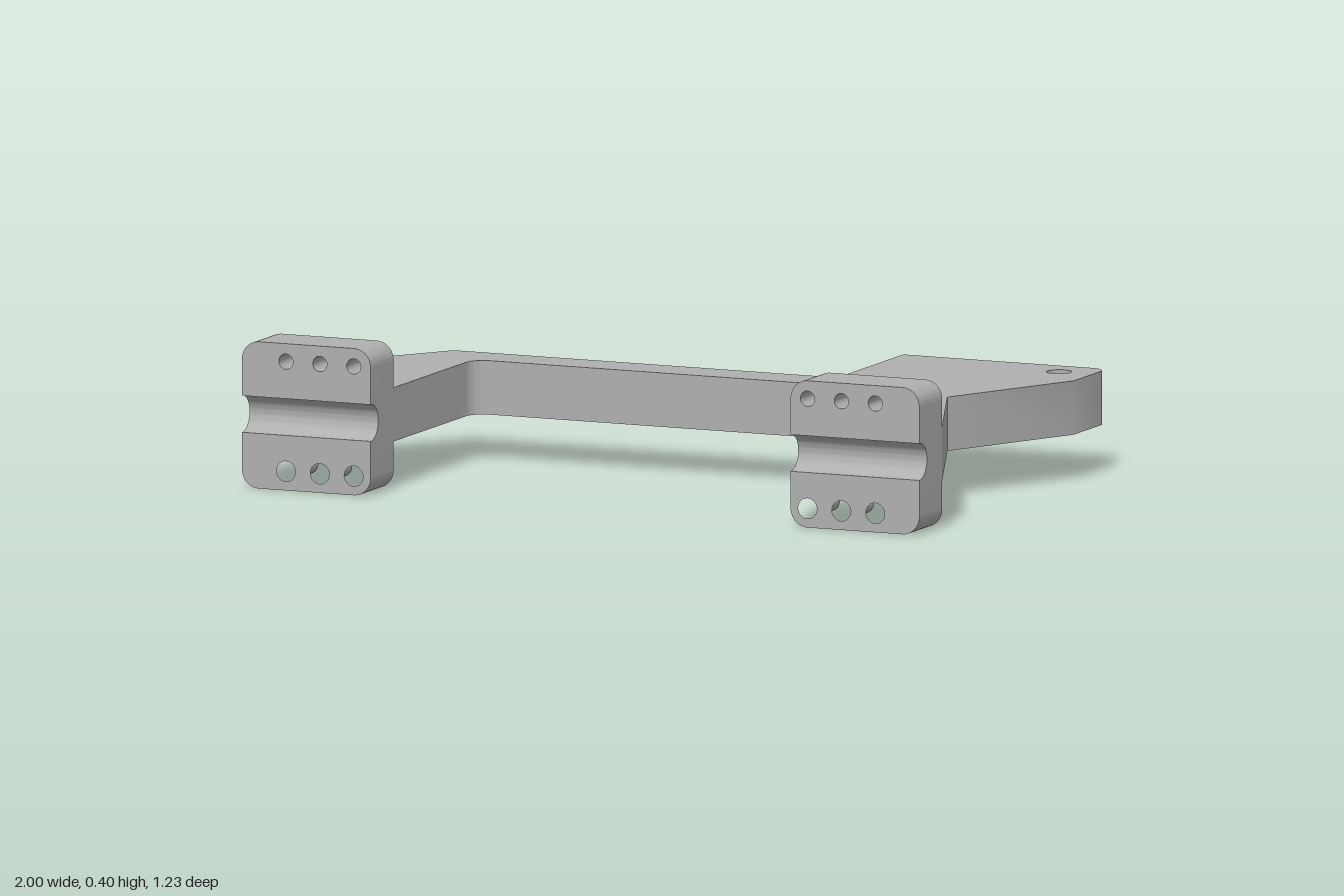
import * as THREE from 'three';
import { toCreasedNormals } from 'three/addons/utils/BufferGeometryUtils.js';

const grey = new THREE.MeshStandardMaterial({ color: 0xb0b0b0 });
grey.name = 'plain grey';

// Block and frame dimensions
const BACK = 0.465, FRONT = 0.615, INNER = 0.62, OUTER = 1, HEIGHT = 0.4;
const GROOVE_Y = 0.2, GROOVE_R = 0.05, CORNER = 0.05;
const FRAME_BOTTOM = 0.128, FRAME_TOP = 0.275;

function extrude(shape, depth) {
  const g = new THREE.ExtrudeGeometry(shape, { depth, bevelEnabled: false, curveSegments: 12 });
  return toCreasedNormals(g, 0.6);
}

function addMesh(parent, name, geometry) {
  const mesh = new THREE.Mesh(geometry, grey);
  mesh.name = name;
  parent.add(mesh);
}

function drill(shape, x, y, r) {
  const hole = new THREE.Path();
  hole.absarc(x, y, r, 0, Math.PI * 2, true);
  shape.holes.push(hole);
}

// Bridge frame outline, drawn in plan (shape y = -z)
function frameGeometry() {
  const s = new THREE.Shape();
  s.moveTo(-OUTER, -BACK);
  s.lineTo(-INNER, -BACK);
  s.lineTo(-INNER, 0.01);
  s.absarc(-INNER + 0.05, 0.01, 0.05, Math.PI, Math.PI / 2, true);
  s.lineTo(INNER - 0.05, 0.06);
  s.absarc(INNER - 0.05, 0.01, 0.05, Math.PI / 2, 0, true);
  s.lineTo(INNER, -BACK);
  s.lineTo(OUTER, -BACK);
  s.lineTo(0.805, 0);
  s.lineTo(OUTER, 0.395);
  s.lineTo(OUTER, 0.57);
  s.absarc(OUTER - 0.045, 0.57, 0.045, 0, Math.PI / 2, false);
  s.lineTo(0.397, 0.615);
  s.lineTo(0.397, 0.183);
  s.lineTo(-0.735, 0.183);
  s.lineTo(-OUTER, -0.185);
  s.closePath();
  drill(s, 0.9, 0.52, 0.034);
  drill(s, -0.9, -0.27, 0.034);
  const g = extrude(s, FRAME_TOP - FRAME_BOTTOM);
  g.rotateX(-Math.PI / 2);
  g.translate(0, FRAME_BOTTOM, 0);
  return g;
}

// Jaw half: a bar from yFlat to yRound with its two outer corners rounded
function jawShape(side, yFlat, yRound) {
  const cx = side * (INNER + OUTER) / 2, half = (OUTER - INNER) / 2;
  const yIn = yRound + Math.sign(yFlat - yRound) * CORNER;
  const s = new THREE.Shape();
  s.moveTo(cx - half, yFlat);
  s.lineTo(cx + half, yFlat);
  s.lineTo(cx + half, yIn);
  const up = yRound > yFlat;
  s.absarc(cx + half - CORNER, yIn, CORNER, 0, up ? Math.PI / 2 : -Math.PI / 2, !up);
  s.lineTo(cx - half + CORNER, yRound);
  s.absarc(cx - half + CORNER, yIn, CORNER, up ? Math.PI / 2 : -Math.PI / 2, up ? Math.PI : -Math.PI, !up);
  s.closePath();
  return s;
}

function clampBlock(side, name) {
  const block = new THREE.Group();
  block.name = name;
  const lowY = GROOVE_Y - GROOVE_R, highY = GROOVE_Y + GROOVE_R;
  const holeXs = [0.67, 0.77, 0.87].map((x) => side * x);

  // Lower jaw with through holes
  const lower = jawShape(side, lowY, 0);
  holeXs.forEach((x) => drill(lower, x, 0.052, 0.028));
  addMesh(block, 'lowerJaw', extrude(lower, FRONT - BACK).translate(0, 0, BACK));

  // Upper jaw with blind holes, closed by a backing layer
  const backing = 0.04;
  const upper = jawShape(side, highY, HEIGHT);
  addMesh(block, 'upperJawBacking', extrude(upper, backing).translate(0, 0, BACK));
  const drilled = jawShape(side, highY, HEIGHT);
  holeXs.forEach((x) => drill(drilled, x, 0.351, 0.021));
  addMesh(block, 'upperJaw', extrude(drilled, FRONT - BACK - backing).translate(0, 0, BACK + backing));

  // Half-round groove band, drawn from the side (shape x = -z)
  const band = new THREE.Shape();
  band.moveTo(-BACK, highY);
  band.lineTo(-BACK, lowY);
  band.lineTo(-FRONT, lowY);
  band.absarc(-FRONT, GROOVE_Y, GROOVE_R, -Math.PI / 2, Math.PI / 2, false);
  band.closePath();
  const g = extrude(band, OUTER - INNER).rotateY(Math.PI / 2);
  addMesh(block, 'grooveBand', g.translate(side > 0 ? INNER : -OUTER, 0, 0));
  return block;
}

export function createModel() {
  const model = new THREE.Group();
  model.name = 'clampBracket';
  addMesh(model, 'bridgeFrame', frameGeometry());
  model.add(clampBlock(1, 'leftClampBlock'), clampBlock(-1, 'rightClampBlock'));
  return model;
}
